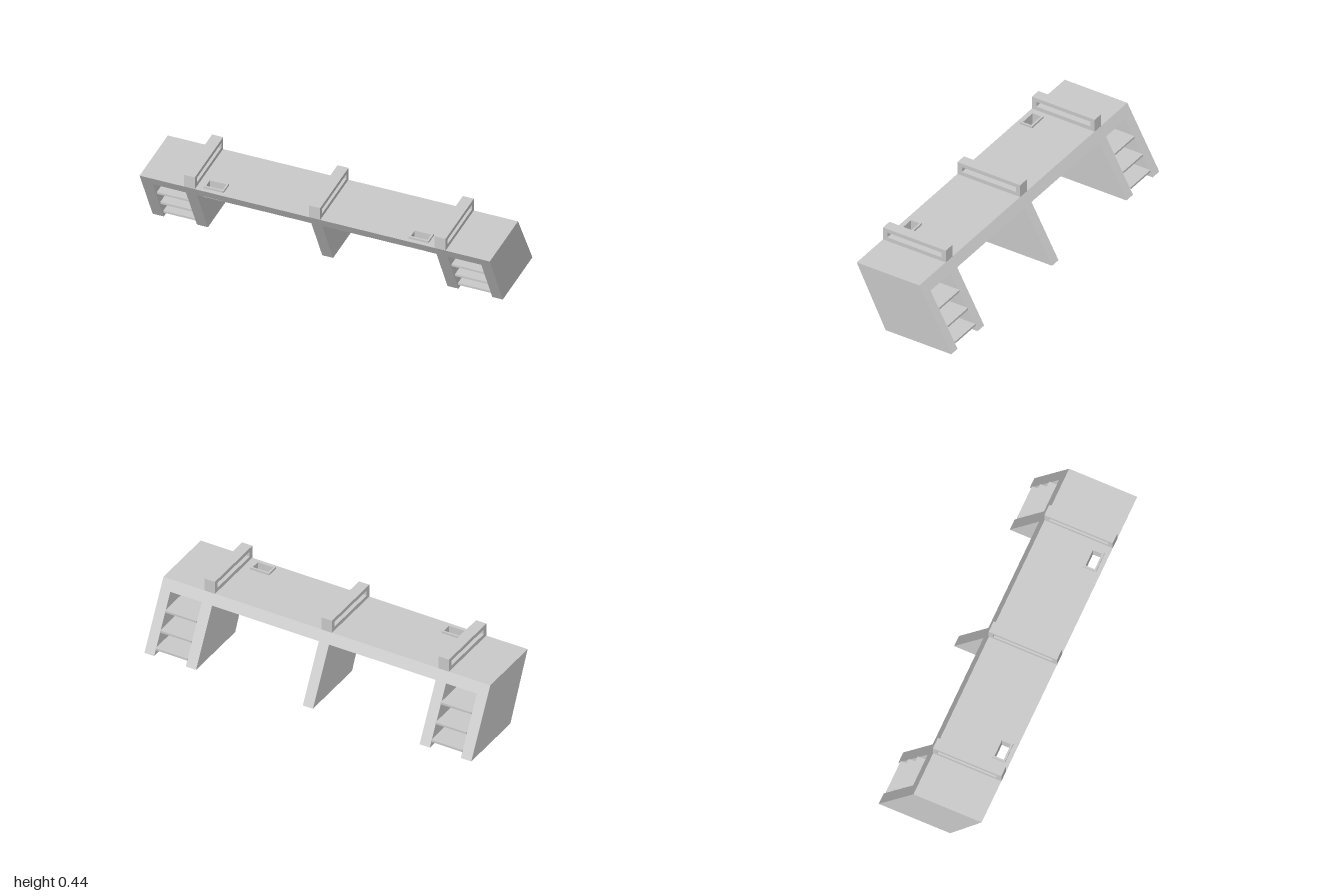
import * as THREE from 'three';

const TOP = 0.367, UNDER = 0.31;
const SKEW = 0.009; // the plan is very slightly skewed along x
const mat = new THREE.MeshStandardMaterial({ color: 0xcccccc, flatShading: true });

// leaning front and back planes of the desk
const frontZ = (x, y) => 0.114 + 0.181 * y / TOP + SKEW * x;
const backZ = (x, y) => -0.297 + 0.2 * y / TOP + SKEW * x;

// moves each vertex's z by a rule
function warp(geo, rule) {
  const p = geo.attributes.position;
  for (let i = 0; i < p.count; i++) p.setZ(i, rule(p.getX(i), p.getY(i), p.getZ(i)));
  geo.computeVertexNormals();
  return geo;
}

function rect(Type, x0, x1, y0, y1) {
  const r = new Type();
  r.moveTo(x0, y0);
  r.lineTo(x1, y0);
  r.lineTo(x1, y1);
  r.lineTo(x0, y1);
  r.closePath();
  return r;
}

// plan shape (x, -z) extruded upwards from y0 to y1
function plate(shape, y0, y1) {
  const g = new THREE.ExtrudeGeometry(shape, { depth: y1 - y0, bevelEnabled: false });
  return g.rotateX(-Math.PI / 2).translate(0, y0, 0);
}

function block(x0, x1, y0, y1) {
  return new THREE.BoxGeometry(x1 - x0, y1 - y0, 1).translate((x0 + x1) / 2, (y0 + y1) / 2, 0);
}

export function createModel() {
  const desk = new THREE.Group();
  desk.name = 'desk';
  const add = (name, geo) => {
    const m = new THREE.Mesh(geo, mat);
    m.name = name;
    desk.add(m);
  };

  // desktop with two cable openings
  const ports = [-0.588, 0.582].map(x => ({ x, z: 0.232 + SKEW * x }));
  const top = rect(THREE.Shape, -1, 1, -0.5, 0.5);
  for (const { x, z } of ports)
    top.holes.push(rect(THREE.Path, x - 0.049, x + 0.049, -z - 0.028, -z + 0.028));
  add('desktop', warp(plate(top, UNDER, TOP), (x, y, z) =>
    Math.abs(z) < 0.45 ? z : z > 0 ? frontZ(x, y) : backZ(x, y)));

  // raised rims around the openings
  for (const { x, z } of ports) {
    const rim = rect(THREE.Shape, x - 0.057, x + 0.057, -z - 0.037, -z + 0.037);
    rim.holes.push(rect(THREE.Path, x - 0.047, x + 0.047, -z - 0.026, -z + 0.026));
    add('cableRim', plate(rim, UNDER + 0.002, 0.379));
  }

  // slanted panel legs
  for (const [a, b] of [[-1, -0.936], [-0.747, -0.684], [-0.031, 0.031], [0.684, 0.747], [0.94, 1]])
    add('leg', warp(block(a, b, 0, UNDER), (x, y, z) => z > 0 ? frontZ(x, y) : backZ(x, y)));

  // shelves at both ends
  for (const [a, b] of [[-0.936, -0.747], [0.747, 0.94]])
    for (const y of [0.036, 0.121, 0.217])
      add('shelf', warp(block(a, b, y - 0.006, y + 0.006), (x, _, z) =>
        z > 0 ? frontZ(x, y) - 0.01 : backZ(x, y) - 0.006));

  // slotted rails across the top
  for (const x of [-0.716, 0, 0.716]) {
    const rail = rect(THREE.Shape, -0.295, 0.098, TOP, 0.443);
    rail.holes.push(rect(THREE.Path, -0.267, 0.072, 0.39, 0.421));
    const g = new THREE.ExtrudeGeometry(rail, { depth: 0.063, bevelEnabled: false });
    g.translate(0, 0, -0.0315).rotateY(Math.PI / 2).translate(x, 0, 0);
    add('rail', warp(g, (px, y, z) => z + SKEW * px));
  }
  return desk;
}
